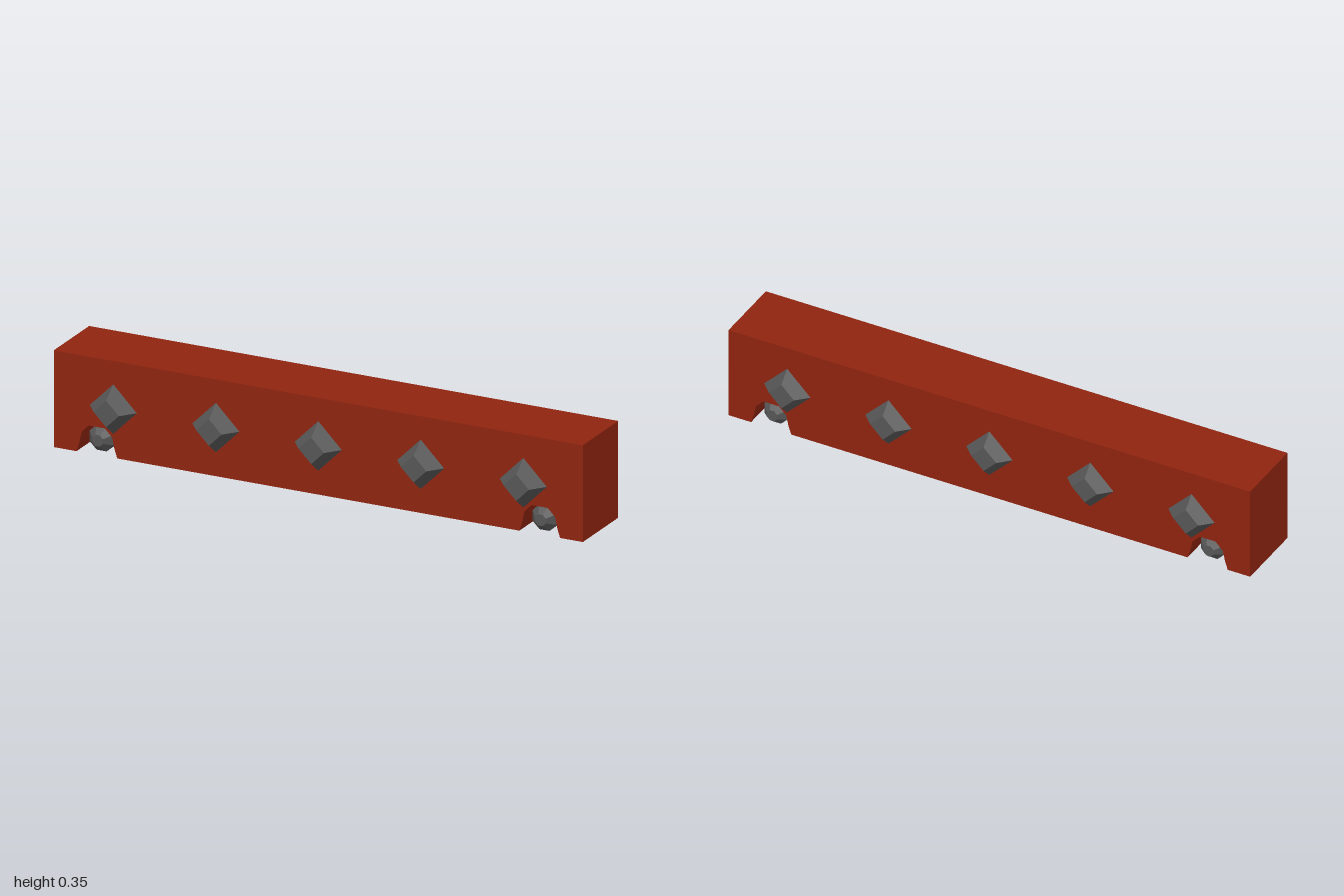
import * as THREE from 'three';

const BACK = -0.137, FRONT = 0.125, NOTCH_X = 0.837;

export function createModel() {
  const model = new THREE.Group();
  model.name = 'studdedBeam';
  const red = new THREE.MeshStandardMaterial({ color: 0x8f240f, flatShading: true });
  red.name = 'brick red';
  const grey = new THREE.MeshStandardMaterial({ color: 0x565656, flatShading: true });
  grey.name = 'iron grey';

  const add = (name, geometry, material, x, y, z) => {
    const mesh = new THREE.Mesh(geometry, material);
    mesh.name = name;
    mesh.position.set(x, y, z);
    model.add(mesh);
    return mesh;
  };

  // Beam profile with an arched notch near each end of its underside
  const notch = [[-0.077, 0], [-0.067, 0.03], [-0.058, 0.072], [-0.03, 0.1],
    [0.03, 0.1], [0.058, 0.072], [0.067, 0.03], [0.077, 0]];
  const profile = new THREE.Shape();
  profile.moveTo(-1, 0);
  for (const cx of [-NOTCH_X, NOTCH_X]) {
    for (const [x, y] of notch) profile.lineTo(cx + x, y);
  }
  profile.lineTo(1, 0);
  profile.lineTo(1, 0.348);
  profile.lineTo(-1, 0.348);
  profile.closePath();
  const beam = new THREE.ExtrudeGeometry(profile, { depth: FRONT - BACK, bevelEnabled: false });
  add('beam', beam, red, 0, 0, BACK);

  // Diamond studs, flat-topped pyramids on both faces
  for (const side of [1, -1]) {
    const face = side > 0 ? FRONT : -BACK;
    const height = 0.178 - face;
    const stud = new THREE.CylinderGeometry(0.048, 0.089, height, 4);
    stud.rotateX(side * Math.PI / 2);
    for (const x of [-0.775, -0.387, 0, 0.387, 0.775]) {
      add(side > 0 ? 'frontStud' : 'backStud', stud, grey, x, 0.175, side * (face + height / 2));
    }
  }

  // Eight-sided rollers with tapered ends, lying in the notches
  const ends = [[0, BACK + 0.005], [0.022, BACK + 0.005], [0.049, BACK + 0.035],
    [0.049, FRONT - 0.035], [0.022, FRONT - 0.005], [0, FRONT - 0.005]];
  const roller = new THREE.LatheGeometry(ends.map(([r, y]) => new THREE.Vector2(r, y)), 8);
  roller.rotateY(Math.PI / 8);
  roller.rotateX(Math.PI / 2);
  for (const x of [-NOTCH_X, NOTCH_X]) add('roller', roller, grey, x, 0.049, 0);

  return model;
}
